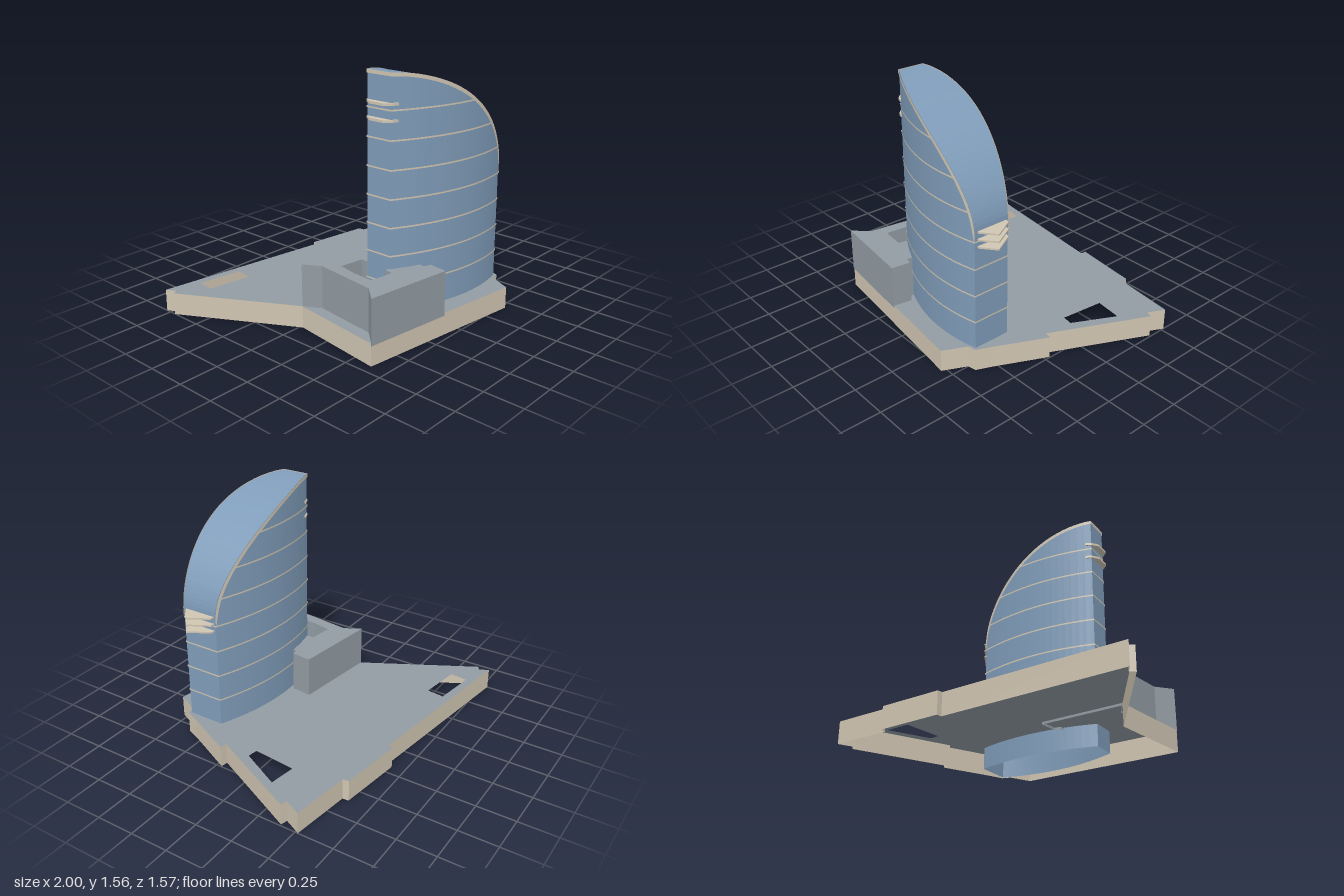
import * as THREE from 'three';

const make = (name, color) => {
  const m = new THREE.MeshStandardMaterial({ color, side: THREE.DoubleSide, flatShading: true });
  m.name = name;
  return m;
};

// Wall along [x, z] points; lo and hi are heights or functions of x
function strip(pts, lo, hi, closed = true) {
  const h = (f, p) => (typeof f === 'function' ? f(p[0]) : f);
  const v = [];
  const n = closed ? pts.length : pts.length - 1;
  for (let i = 0; i < n; i++) {
    const a = pts[i], b = pts[(i + 1) % pts.length];
    const a0 = [a[0], h(lo, a), a[1]], a1 = [a[0], h(hi, a), a[1]];
    const b0 = [b[0], h(lo, b), b[1]], b1 = [b[0], h(hi, b), b[1]];
    v.push(...a0, ...b0, ...b1, ...a0, ...b1, ...a1);
  }
  return fromVertices(v);
}

function fromVertices(v) {
  const g = new THREE.BufferGeometry();
  g.setAttribute('position', new THREE.Float32BufferAttribute(v, 3));
  g.computeVertexNormals();
  return g;
}

// Plan polygon with holes, in x and z
function planShape(pts, holes = []) {
  const vec = (list) => list.map(([x, z]) => new THREE.Vector2(x, -z));
  const s = new THREE.Shape(vec(pts));
  s.holes = holes.map((list) => new THREE.Path(vec(list)));
  return s;
}
const plate = (pts, holes, y) =>
  new THREE.ShapeGeometry(planShape(pts, holes)).rotateX(-Math.PI / 2).translate(0, y, 0);
const slab = (pts, y, depth) =>
  new THREE.ExtrudeGeometry(planShape(pts), { depth, bevelEnabled: false })
    .rotateX(-Math.PI / 2).translate(0, y - depth / 2, 0);

// Tower rules: roof curve and the two bowed sides
const X0 = -0.32, LEN = 0.86, SEG = 28;
const along = (x) => Math.min(1, Math.max(0, (x - X0) / LEN));
const roofY = (x) => 0.9 + 0.66 * Math.pow(1 - Math.pow(along(x), 1.7), 0.58);
function towerSides(off = 0) {
  const front = [], back = [];
  for (let i = 0; i <= SEG; i++) {
    const u = Math.sin((i / SEG) * Math.PI / 2), bow = 4 * u * (1 - u);
    const x = X0 - off + u * (LEN + 2 * off);
    front.push([x, 0.455 + 0.155 * u + 0.09 * bow + off]);
    back.push([x, 0.285 + 0.085 * u - 0.072 * bow - off]);
  }
  return { front, back };
}

export function createModel() {
  const group = new THREE.Group();
  const stone = make('beige stone', 0xd0c5b2);
  const paving = make('grey paving', 0x929ca3);
  const glass = make('blue glass', 0x7f9cb9);
  const add = (name, geometry, material) => {
    const mesh = new THREE.Mesh(geometry, material);
    mesh.name = name;
    group.add(mesh);
  };

  // Hollow plinth with two openings in its deck
  const base = [
    [-0.69, 0.637], [0.43, 0.78], [0.5, 0.635], [0.555, 0.625], [0.59, 0.54],
    [0.745, 0.215], [0.7, 0.207], [0.99, -0.4], [0.947, -0.412], [1, -0.52],
    [0.61, -0.57], [0.605, -0.61], [0.185, -0.665], [0.18, -0.63],
    [-1, -0.785], [-0.967, -0.725], [-1, -0.705], [-0.605, 0.02],
  ];
  const openings = [
    [[-0.79, -0.705], [-0.51, -0.665], [-0.525, -0.55], [-0.805, -0.59]],
    [[0.685, -0.27], [0.855, -0.245], [0.72, 0.02], [0.655, 0.01]],
  ];
  add('plinthWalls', strip(base, 0, 0.14), stone);
  add('plinthDeck', plate(base, openings, 0.14), paving);

  // Low annex with a recessed side and a courtyard
  const annex = [
    [-0.692, 0.64], [-0.125, 0.713], [-0.108, 0.592], [-0.155, 0.578], [-0.105, 0.25],
    [-0.1, 0.225], [-0.06, 0.225], [-0.045, 0.092], [-0.605, 0.02],
    [-0.545, 0.13], [-0.6, 0.54],
  ];
  const court = [
    [-0.47, 0.215], [-0.315, 0.235], [-0.32, 0.28], [-0.29, 0.3], [-0.29, 0.44],
    [-0.345, 0.445], [-0.353, 0.5], [-0.51, 0.48], [-0.498, 0.34],
  ];
  add('annexWalls', strip(annex, 0.125, 0.41), paving);
  add('annexRoof', plate(annex, [court], 0.41), paving);
  add('courtyardWalls', strip(court, 0.14, 0.41), paving);

  // Tower shell with a curved roof
  const { front, back } = towerSides();
  add('towerWalls', strip([...front, ...[...back].reverse()], 0, roofY), glass);
  const roof = [];
  for (let i = 0; i < SEG; i++) {
    const [a, b, c, d] = [front[i], front[i + 1], back[i + 1], back[i]]
      .map(([x, z]) => [x, roofY(x), z]);
    roof.push(...a, ...b, ...c, ...a, ...c, ...d);
  }
  add('towerRoof', fromVertices(roof), glass);

  // Floor bands, cut off where they meet the roof
  const outer = towerSides(0.004);
  const outerRing = [...outer.front, ...[...outer.back].reverse()];
  for (let i = 0; i < 7; i++) {
    const y = 0.318 + i * 0.172;
    add('floorBand', strip(outerRing,
      (x) => Math.min(y - 0.005, roofY(x)), (x) => Math.min(y + 0.005, roofY(x))), stone);
  }

  // Trim under the roof edge
  const trimLow = (x) => {
    const slope = (roofY(x - 0.005) - roofY(x + 0.005)) / 0.01;
    return roofY(x) - Math.min(0.08, 0.02 * Math.hypot(1, slope));
  };
  add('roofTrim', strip([...[...outer.back].reverse(), ...outer.front],
    trimLow, (x) => roofY(x) + 0.002, false), stone);

  // Sun fins at both ends
  const rightFin = [[0.53, 0.59], [0.55, 0.59], [0.64, 0.52], [0.565, 0.385], [0.53, 0.38]];
  for (const y of [0.797, 0.843, 0.889]) add('lowFin', slab(rightFin, y, 0.01), stone);
  const leftFin = [
    [-0.285, 0.482], [-0.32, 0.468], [-0.357, 0.43],
    [-0.357, 0.325], [-0.325, 0.283], [-0.285, 0.265],
  ];
  for (const y of [1.29, 1.385]) add('highFin', slab(leftFin, y, 0.015), stone);

  return group;
}
